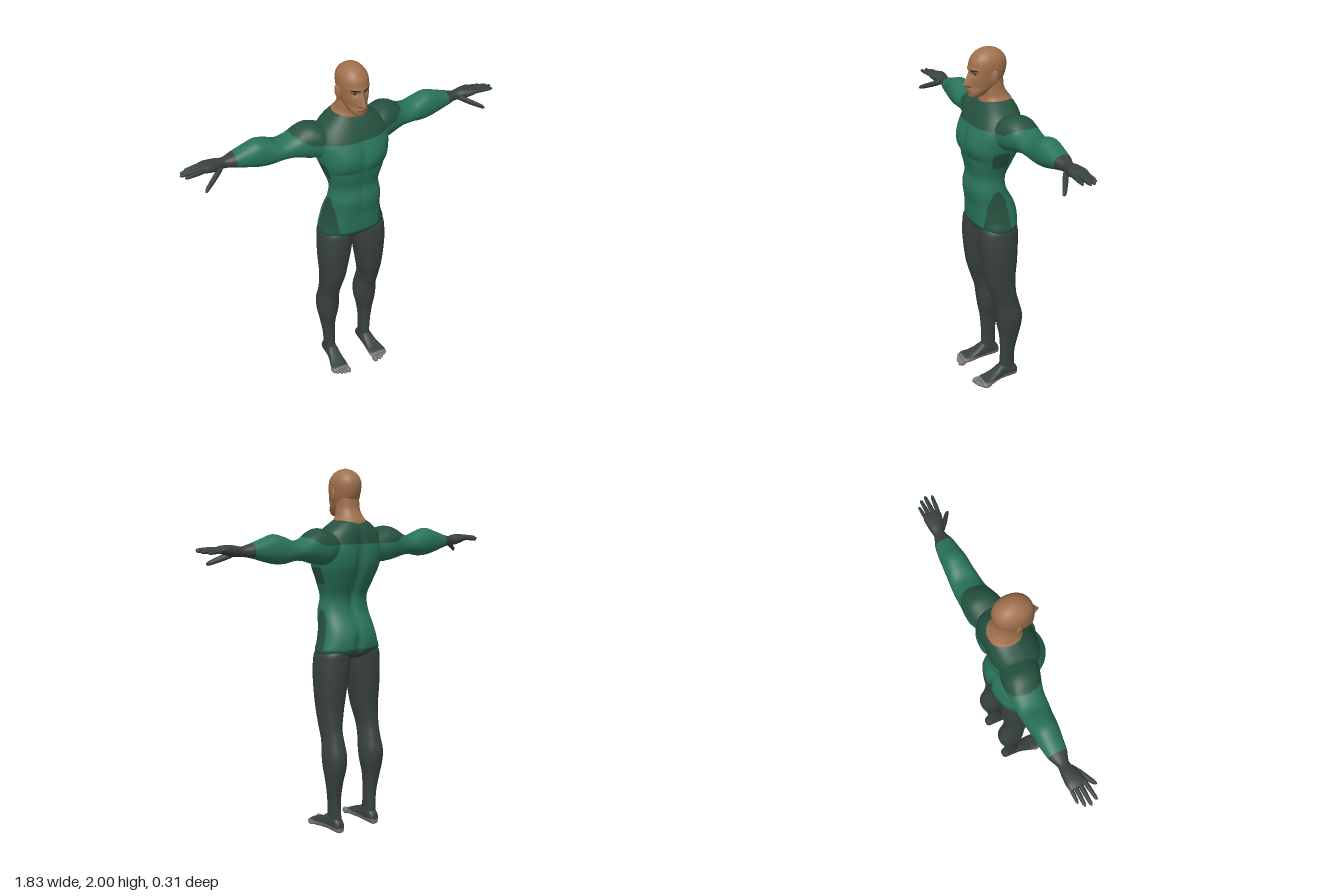
import * as THREE from 'three';

const mat = (name, color) => {
  const m = new THREE.MeshStandardMaterial({ color });
  m.name = name;
  return m;
};
const bump = (d, w) => Math.exp(-((d / w) ** 2));
const clamp = (v) => Math.min(1, Math.max(0, v));

// For each loft axis: coordinate index of (along, a, b)
const AXES = { x: [0, 2, 1], y: [1, 0, 2], z: [2, 1, 0] };

// Smooth skin through cross-sections [t, aMin, aMax, bMin, bMax].
// pick(p) gives the material number of a face, sculpt(p) moves a vertex.
function loft(axis, sections, { sub = 8, seg = 48, power = 2.2, side = 1, sculpt, pick, materials }) {
  const [it, ia, ib] = AXES[axis];
  const rings = [];
  const at = (i) => sections[Math.min(sections.length - 1, Math.max(0, i))];
  for (let i = 0; i < sections.length - 1; i++) {
    for (let k = 0; k < sub; k++) {
      const u = k / sub;
      rings.push(at(i).map((p1, c) => {
        const p0 = at(i - 1)[c], p2 = at(i + 1)[c], p3 = at(i + 2)[c];
        return p1 + 0.5 * u * (p2 - p0 + u * (2 * p0 - 5 * p1 + 4 * p2 - p3 + u * (3 * (p1 - p2) + p3 - p0)));
      }));
    }
  }
  rings.push(at(sections.length - 1));

  const pts = [];
  const add = (t, a, b) => {
    const c = [0, 0, 0];
    c[it] = t; c[ia] = a; c[ib] = b;
    const p = new THREE.Vector3(...c);
    if (sculpt) sculpt(p);
    p.x *= side;
    pts.push(p);
  };
  const round = (v) => Math.sign(v) * Math.abs(v) ** (2 / power);
  for (const [t, a0, a1, b0, b1] of rings) {
    for (let j = 0; j < seg; j++) {
      const th = (j / seg) * Math.PI * 2;
      add(t, (a0 + a1) / 2 + (a1 - a0) / 2 * round(Math.cos(th)), (b0 + b1) / 2 + (b1 - b0) / 2 * round(Math.sin(th)));
    }
  }
  for (const [t, a0, a1, b0, b1] of [rings[0], rings[rings.length - 1]]) add(t, (a0 + a1) / 2, (b0 + b1) / 2);

  const buckets = materials.map(() => []);
  const mid = new THREE.Vector3();
  const tri = (a, b, c) => {
    mid.copy(pts[a]).add(pts[b]).add(pts[c]).divideScalar(3);
    buckets[pick ? pick(mid) : 0].push(...(side > 0 ? [a, b, c] : [a, c, b]));
  };
  const last = (rings.length - 1) * seg, cap = rings.length * seg;
  for (let j = 0; j < seg; j++) {
    const n = (j + 1) % seg;
    for (let r = 0; r < last; r += seg) {
      tri(r + j, r + seg + j, r + n);
      tri(r + n, r + seg + j, r + seg + n);
    }
    tri(cap, j, n);
    tri(cap + 1, last + n, last + j);
  }
  const geo = new THREE.BufferGeometry().setFromPoints(pts);
  geo.setIndex(buckets.flat());
  geo.computeVertexNormals();
  let start = 0;
  buckets.forEach((b, i) => {
    if (b.length) geo.addGroup(start, b.length, i);
    start += b.length;
  });
  return new THREE.Mesh(geo, materials);
}

export function createModel() {
  const model = new THREE.Group();
  const skin = mat('skin', 0xa0704c), green = mat('suit green', 0x29735a), dark = mat('dark green', 0x25513f);
  const grey = mat('charcoal', 0x394141), sole = mat('sole grey', 0x747474);
  const hair = mat('brow brown', 0x2b1d16), eye = mat('eye', 0x8d837c), lip = mat('lip', 0x80523c);
  const put = (name, mesh) => { mesh.name = name; model.add(mesh); return mesh; };
  const isYoke = (p) => p.y > 1.61 && Math.abs(p.x) < 0.22 + (p.y - 1.6) * 1.7;

  // Torso, with yoke, flank patches and hip panels
  const torso = [
    [0.985, 0.13, 0.06, -0.085], [1.02, 0.187, 0.1, -0.125], [1.08, 0.173, 0.11, -0.137], [1.15, 0.158, 0.115, -0.122],
    [1.24, 0.147, 0.126, -0.075], [1.32, 0.137, 0.113, -0.07], [1.4, 0.16, 0.128, -0.105], [1.48, 0.187, 0.147, -0.14],
    [1.55, 0.198, 0.14, -0.15], [1.61, 0.198, 0.117, -0.15], [1.67, 0.165, 0.085, -0.143], [1.715, 0.112, 0.052, -0.125],
    [1.735, 0.08, 0.035, -0.105],
  ].map(([y, w, f, b]) => [y, -w, w, b, f]);
  put('torso', loft('y', torso, {
    seg: 128, power: 2.45, materials: [green, dark, grey],
    sculpt: (p) => {
      const x = Math.abs(p.x);
      if (p.z > 0.03) {
        p.z += 0.008 * bump(x - 0.085, 0.06) * bump(p.y - 1.52, 0.05); // chest
        p.z -= 0.01 * bump(x, 0.016) * bump(p.y - 1.53, 0.08);
        p.z -= 0.007 * bump(p.y - 1.435, 0.018) * bump(x - 0.09, 0.07);
        p.z -= 0.004 * bump(x, 0.015) * bump(p.y - 1.3, 0.12); // belly
      } else if (p.z < -0.03) {
        p.z += 0.026 * bump(x, 0.025) * bump(p.y - 1.43, 0.2); // spine
        p.z += 0.035 * bump(x, 0.018) * bump(p.y - 1.05, 0.07); // seat
        p.z -= 0.008 * bump(x - 0.1, 0.05) * bump(p.y - 1.55, 0.07);
      }
    },
    pick: (p) => {
      if (p.y < 1.02) return 2;
      if (p.y < 1.04 || isYoke(p)) return 1;
      if (Math.abs(p.x) < 0.08) return 0;
      const flank = p.y > 1.395 && p.y < 1.485 && p.z > -0.03 && p.z < 0.06;
      const w = (0.042 + 0.13 * (1.25 - p.y)) * Math.sqrt(clamp((1.255 - p.y) / 0.06));
      return flank || Math.abs(p.z - 0.02) < w ? 1 : 0;
    },
  }));

  // Neck
  put('neck', loft('y', [
    [1.69, -0.1, 0.1, -0.12, 0.05], [1.725, -0.09, 0.09, -0.122, 0.048], [1.75, -0.073, 0.073, -0.105, 0.045],
    [1.79, -0.064, 0.064, -0.082, 0.045], [1.85, -0.06, 0.06, -0.075, 0.03],
  ], { materials: [skin] }));

  // Head with sculpted face
  const head = [
    [1.748, 0.015, 0.1, 0.065], [1.757, 0.033, 0.112, 0.035], [1.78, 0.05, 0.114, 0], [1.81, 0.062, 0.111, -0.045],
    [1.85, 0.071, 0.109, -0.08], [1.9, 0.077, 0.107, -0.094], [1.94, 0.074, 0.099, -0.091], [1.97, 0.059, 0.077, -0.072],
    [1.99, 0.036, 0.047, -0.042], [2.0, 0.006, 0.012, -0.004],
  ].map(([y, w, f, b]) => [y, -w, w, b, f]);
  put('head', loft('y', head, {
    sub: 11, seg: 128, power: 2.15, materials: [skin, hair, eye, lip],
    sculpt: (p) => {
      if (p.z < 0.04) return;
      const x = Math.abs(p.x);
      const nose = clamp((1.892 - p.y) / 0.075) * clamp((p.y - 1.801) / 0.014);
      p.z += 0.034 * bump(x, 0.009 + 0.006 * nose) * nose;
      p.z -= 0.011 * bump(x - 0.031, 0.016) * bump(p.y - 1.875, 0.013);
      p.z += 0.005 * bump(x - 0.025, 0.03) * bump(p.y - 1.898, 0.008);
      p.z += 0.006 * bump(x, 0.02) * (bump(p.y - 1.792, 0.005) + bump(p.y - 1.779, 0.005));
      p.z -= 0.006 * bump(x - 0.045, 0.015) * bump(p.y - 1.81, 0.02);
    },
    pick: (p) => {
      const x = Math.abs(p.x), e = ((x - 0.031) / 0.013) ** 2 + ((p.y - 1.875) / 0.0055) ** 2;
      if (p.z < 0.04) return 0;
      if (x > 0.011 && x < 0.052 && Math.abs(p.y - 1.892 - 0.2 * Math.min(x - 0.011, 0.025)) < 0.0035) return 1;
      if (e < 1) return Math.abs(x - 0.031) < 0.005 || p.y > 1.8775 ? 1 : 2;
      return x < 0.023 && Math.abs(p.y - 1.785) < 0.005 ? 3 : 0;
    },
  }));

  for (const side of [1, -1]) {
    const word = side > 0 ? 'left' : 'right';

    // Ear
    const ear = put(word + 'Ear', new THREE.Mesh(new THREE.SphereGeometry(1, 20, 14), skin));
    ear.scale.set(0.01, 0.038, 0.02);
    ear.position.set(side * 0.079, 1.86, 0.004);
    ear.rotation.set(-0.15, side * -0.3, side * -0.1);

    // Arm, from shoulder to palm
    put(word + 'Arm', loft('x', [
      [0.1, -0.12, 0.03, 1.55, 1.66], [0.17, -0.145, 0.055, 1.505, 1.683], [0.22, -0.15, 0.045, 1.505, 1.695],
      [0.27, -0.148, 0.028, 1.515, 1.682], [0.32, -0.148, 0.015, 1.53, 1.65], [0.38, -0.145, 0.01, 1.535, 1.637],
      [0.44, -0.14, 0.002, 1.523, 1.66], [0.5, -0.135, -0.003, 1.525, 1.675], [0.56, -0.13, -0.012, 1.54, 1.657],
      [0.625, -0.12, -0.022, 1.56, 1.635], [0.68, -0.1, -0.04, 1.57, 1.622], [0.73, -0.105, -0.025, 1.572, 1.63],
      [0.78, -0.108, -0.012, 1.587, 1.63], [0.81, -0.102, -0.018, 1.595, 1.62],
    ], {
      side, seg: 64, materials: [green, dark, grey],
      pick: (p) => (Math.abs(p.x) > 0.625 ? 2 : isYoke(p) ? 1 : 0),
    }));

    // Fingers and thumb: [x, y, z] at root and tip, then radius
    [
      [0.785, 1.608, -0.094, 0.875, 1.597, -0.097, 0.0095], [0.79, 1.61, -0.072, 0.903, 1.602, -0.073, 0.011],
      [0.79, 1.612, -0.048, 0.913, 1.607, -0.045, 0.0115], [0.785, 1.612, -0.024, 0.9, 1.61, -0.011, 0.011],
      [0.7, 1.59, -0.045, 0.822, 1.533, 0.036, 0.016],
    ].forEach(([x0, y0, z0, x1, y1, z1, r], i) => {
      const rows = [[0, 0.9], [0.3, 1.05], [0.6, 0.95], [0.85, 0.8], [0.95, 0.6], [1, 0.15]].map(([u, s]) => {
        const z = z0 + (z1 - z0) * u, y = y0 + (y1 - y0) * u;
        return [x0 + (x1 - x0) * u, z - r * s, z + r * s, y - r * s, y + r * s];
      });
      put(word + (i < 4 ? 'Finger' : 'Thumb'), loft('x', rows, { side, sub: 3, seg: 16, materials: [grey] }));
    });

    // Leg
    put(word + 'Leg', loft('y', [
      [0.04, 0.088, 0.15, -0.11, 0], [0.1, 0.09, 0.15, -0.107, -0.014], [0.2, 0.09, 0.157, -0.106, -0.018],
      [0.3, 0.083, 0.17, -0.125, -0.012], [0.38, 0.068, 0.183, -0.142, 0.002], [0.45, 0.063, 0.186, -0.145, 0.012],
      [0.53, 0.07, 0.178, -0.125, 0.024], [0.6, 0.069, 0.18, -0.107, 0.045], [0.7, 0.05, 0.185, -0.102, 0.075],
      [0.8, 0.034, 0.192, -0.11, 0.09], [0.9, 0.017, 0.196, -0.115, 0.099], [0.98, 0.006, 0.193, -0.117, 0.098],
      [1.02, 0.003, 0.185, -0.116, 0.093], [1.06, 0.01, 0.15, -0.1, 0.08],
    ], { side, power: 2.3, materials: [grey, dark], pick: (p) => (p.y > 1.02 ? 1 : 0) }));

    // Foot, with pale sole
    put(word + 'Foot', loft('z', [
      [-0.127, 0.018, 0.045, 0.105, 0.132], [-0.115, 0.009, 0.075, 0.093, 0.146], [-0.07, 0.007, 0.11, 0.088, 0.152],
      [-0.02, 0.008, 0.105, 0.086, 0.156], [0.02, 0.008, 0.078, 0.084, 0.165], [0.06, 0.007, 0.058, 0.081, 0.178],
      [0.095, 0.007, 0.049, 0.08, 0.185], [0.12, 0.009, 0.04, 0.085, 0.178],
    ], { side, power: 2.5, materials: [grey, sole], pick: (p) => (p.y < 0.04 || p.z > 0.105 ? 1 : 0) }));

    // Toes, big one innermost
    for (let i = 0; i < 5; i++) {
      const toe = put(word + 'Toe', new THREE.Mesh(new THREE.SphereGeometry(1, 14, 10), sole));
      const r = i ? 0.0115 - i * 0.0004 : 0.0165;
      toe.scale.set(r, r * 1.15, 0.026);
      toe.position.set(side * (i ? 0.103 + i * 0.0185 : 0.095), 0.021, 0.128 - 0.0022 * i * i);
    }
  }
  return model;
}
